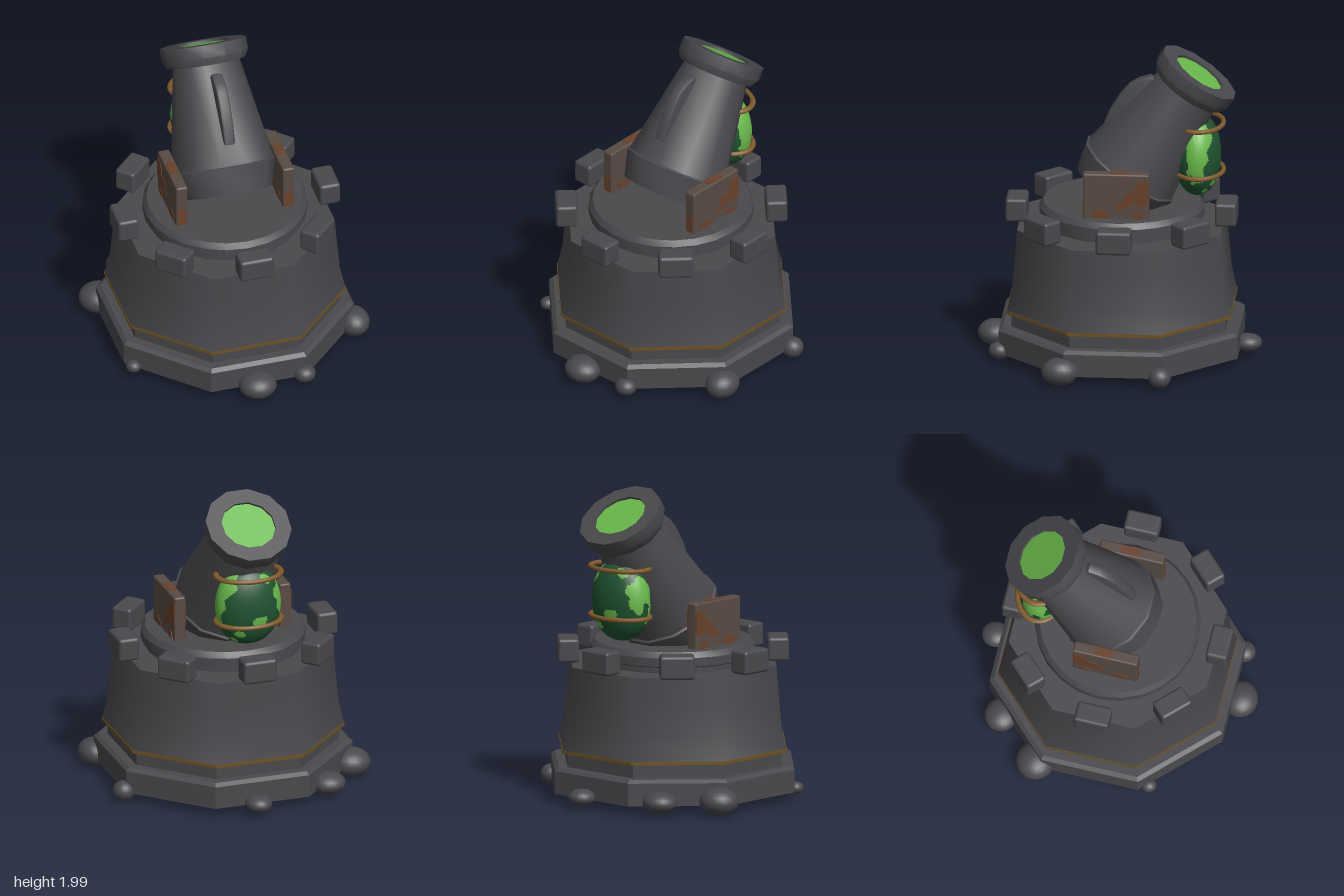
import * as THREE from 'three';
import { toCreasedNormals } from 'three/addons/utils/BufferGeometryUtils.js';
import { RoundedBoxGeometry } from 'three/addons/geometries/RoundedBoxGeometry.js';

const mat = (name, color) => new THREE.MeshStandardMaterial({ name, color });
const M = {
  iron: mat('dark iron', 0x49494d),
  gold: mat('dull gold', 0x6e5220),
  plate: mat('weathered plate', 0x584b43),
  rust: mat('rust', 0x69412a),
  brass: mat('brass strap', 0x80592a),
  green: mat('bright green', 0x68b84a),
  dark: mat('deep green', 0x1f5230),
};
const CZ = -0.015; // centre of the tower along z

function add(parent, name, geometry, material, x = 0, y = 0, z = 0) {
  const mesh = new THREE.Mesh(geometry, material);
  mesh.name = name;
  mesh.position.set(x, y, z);
  parent.add(mesh);
  return mesh;
}

const lathe = (pts, sides) => new THREE.LatheGeometry(pts.map(([r, y]) => new THREE.Vector2(r, y)), sides);

// Octagon solid: radii are measured to the flat sides, which face the axes
function octagon(pts, smooth = false) {
  const g = lathe(pts.map(([r, y]) => [r / Math.cos(Math.PI / 8), y]), 8);
  g.rotateY(Math.PI / 8);
  return smooth ? g : toCreasedNormals(g, 0.3);
}

// Side outline given as (z, y), extruded to a width centred on x = 0
function sideExtrude(points, width, bevel = 0) {
  const shape = new THREE.Shape(points.map(([z, y]) => new THREE.Vector2(z, y)));
  const depth = width - 2 * bevel;
  const g = new THREE.ExtrudeGeometry(shape, {
    depth, bevelEnabled: bevel > 0, bevelSize: bevel, bevelThickness: bevel, bevelOffset: -bevel, bevelSegments: 2,
  });
  g.translate(0, 0, -depth / 2);
  g.rotateY(-Math.PI / 2);
  return g;
}

function buildTower(root) {
  const tower = new THREE.Group();
  tower.name = 'tower';
  tower.position.z = CZ;
  root.add(tower);
  add(tower, 'base', octagon([[0.001, 0.07], [0.75, 0.07], [0.75, 0.215], [0.725, 0.235], [0.001, 0.235]]), M.iron);
  add(tower, 'plinth', octagon([[0.67, 0.23], [0.67, 0.33]]), M.iron);
  add(tower, 'goldBand', octagon([[0.66, 0.322], [0.703, 0.322], [0.703, 0.342], [0.66, 0.342]]), M.gold);
  add(tower, 'wall', octagon([[0.7, 0.34], [0.668, 0.49], [0.652, 0.68], [0.638, 0.865]], true), M.iron);
  add(tower, 'deck', octagon([[0.638, 0.865], [0.001, 0.865]]), M.iron);
  add(tower, 'turntable', toCreasedNormals(lathe(
    [[0.49, 0.86], [0.49, 0.9], [0.517, 0.91], [0.517, 0.965], [0.492, 1.0], [0.001, 1.0]], 24), 0.5), M.iron);

  // Battlement blocks, one on each side of the octagon
  const block = new RoundedBoxGeometry(0.22, 0.15, 0.135, 2, 0.02);
  for (let i = 0; i < 8; i++) {
    const a = (i * Math.PI) / 4;
    add(tower, 'battlement', block, M.iron, Math.sin(a) * 0.657, 0.94, Math.cos(a) * 0.657).rotation.y = a;
  }
}

// Boulders around the foot: x, y, z, then the three radii
function buildBoulders(root) {
  const sphere = new THREE.SphereGeometry(1, 20, 14);
  [
    [-0.02, 0.1, 0.78, 0.12, 0.08, 0.11], [0.3, 0.085, 0.73, 0.07, 0.055, 0.068],
    [0.74, 0.1, 0.318, 0.1, 0.087, 0.117], [0.76, 0.08, -0.31, 0.07, 0.065, 0.07],
    [0.04, 0.09, -0.81, 0.084, 0.055, 0.088], [-0.475, 0.1, -0.65, 0.11, 0.068, 0.105],
    [-0.72, 0.1, -0.37, 0.126, 0.09, 0.122], [-0.705, 0.085, 0.355, 0.048, 0.04, 0.05],
  ].forEach(([x, y, z, a, b, c]) => add(root, 'boulder', sphere, M.iron, x, y, z).scale.set(a, b, c));
}

// Rusty side plates that carry the barrel
function buildCheeks(root) {
  const body = new RoundedBoxGeometry(0.075, 0.32, 0.415, 2, 0.012);
  const patches = [
    [[-0.212, 1.245], [-0.14, 1.24], [-0.115, 1.17], [-0.055, 1.16], [-0.05, 1.105], [0.0, 1.09],
      [-0.02, 1.055], [-0.09, 1.08], [-0.135, 1.11], [-0.165, 1.075], [-0.212, 1.11]],
    [[0.135, 1.0], [0.14, 1.045], [0.095, 1.06], [0.045, 1.03], [0.04, 1.0]],
    [[-0.11, 1.0], [-0.1, 1.035], [-0.15, 1.045], [-0.18, 1.0]],
  ].map((p) => sideExtrude(p, 0.081));
  for (const s of [1, -1]) {
    const g = new THREE.Group();
    g.name = s > 0 ? 'leftCheek' : 'rightCheek';
    g.position.x = s > 0 ? 0.353 : -0.343;
    root.add(g);
    add(g, 'plate', body, M.plate, 0, 1.13, -0.007);
    patches.forEach((p) => add(g, 'rustPatch', p, M.rust));
    add(g, 'rustEdge', new THREE.BoxGeometry(0.055, 0.11, 0.006), M.rust, 0, 1.06, 0.2);
    add(g, 'rustTop', new THREE.BoxGeometry(0.05, 0.006, 0.12), M.rust, 0, 1.29, -0.02);
  }
}

// Mortar barrel, tilted back; its own axis runs along local y
function buildBarrel(root) {
  const barrel = new THREE.Group();
  barrel.name = 'barrel';
  barrel.position.set(0, 1.06, 0.028);
  barrel.rotation.x = -THREE.MathUtils.degToRad(34);
  root.add(barrel);
  const tube = lathe([[0.001, 0], [0.287, 0], [0.336, 0.17], [0.324, 0.18], [0.212, 0.82], [0.247, 0.822],
    [0.274, 0.87], [0.274, 0.95], [0.172, 0.95], [0.172, 0.925]], 12);
  tube.rotateY(Math.PI / 12);
  add(barrel, 'barrelTube', toCreasedNormals(tube, 0.56), M.iron);
  const glow = new THREE.CircleGeometry(0.174, 24);
  glow.rotateX(-Math.PI / 2);
  add(barrel, 'bore', glow, M.green, 0, 0.935, 0);
  add(barrel, 'frontRib', toCreasedNormals(sideExtrude(
    [[0.2, 0.3], [0.3, 0.31], [0.325, 0.42], [0.33, 0.55], [0.318, 0.64], [0.29, 0.7], [0.24, 0.76], [0.15, 0.76]],
    0.075, 0.018), 0.7), M.iron);
}

// Bulging tank behind the barrel, spotted with light patches
function buildTank(root) {
  const tank = new THREE.Group();
  tank.name = 'tank';
  tank.position.set(0, 1.31, -0.49);
  root.add(tank);
  const g = new THREE.SphereGeometry(1, 80, 56).toNonIndexed();
  // Patches: angle from the front in degrees, height, half angle, half height
  const spots = [[92, 0.2, 27, 0.75], [108, 0.6, 30, 0.34], [262, 0.3, 38, 0.35], [245, 0.05, 20, 0.3],
    [300, -0.35, 25, 0.3], [148, -0.62, 13, 0.1], [192, -0.3, 14, 0.15], [125, -0.8, 15, 0.07], [215, 0.75, 18, 0.1]];
  const p = g.attributes.position;
  const isLight = (i) => {
    const mid = (get) => (get(i) + get(i + 1) + get(i + 2)) / 3;
    const y = mid((k) => p.getY(k));
    const a = (THREE.MathUtils.radToDeg(Math.atan2(mid((k) => p.getX(k)), mid((k) => p.getZ(k)))) + 360) % 360;
    const wobble = 1 + 0.25 * Math.sin(a * 0.16 + y * 7) + 0.15 * Math.sin(y * 17 - a * 0.1);
    return spots.some(([c, h, ra, rh]) => ((a - c) / ra) ** 2 + ((y - h) / rh) ** 2 < wobble);
  };
  for (let i = 0; i < p.count; i += 3) {
    const m = isLight(i) ? 1 : 0;
    const last = g.groups[g.groups.length - 1];
    if (last && last.materialIndex === m) last.count += 3;
    else g.addGroup(i, 3, m);
  }
  // Squarer shoulders than an ellipsoid
  for (let i = 0; i < p.count; i++) {
    const y = p.getY(i), r = Math.hypot(p.getX(i), p.getZ(i));
    const k = r > 1e-4 ? Math.pow(r, 0.85) / r : 0;
    p.setXYZ(i, p.getX(i) * k * 0.212, y * 0.257, p.getZ(i) * k * 0.147);
  }
  add(tank, 'tankBody', toCreasedNormals(g, 1), [M.dark, M.green]);
  for (const y of [0.21, -0.1]) {
    const ring = new THREE.TorusGeometry(0.153, 0.015, 8, 32);
    ring.rotateX(Math.PI / 2);
    ring.scale(1.36, 1, 1);
    add(tank, 'strap', ring, M.brass, 0, y, -0.01);
  }
}

export function createModel() {
  const root = new THREE.Group();
  root.name = 'mortarTower';
  buildTower(root);
  buildBoulders(root);
  buildCheeks(root);
  buildBarrel(root);
  buildTank(root);
  return root;
}
